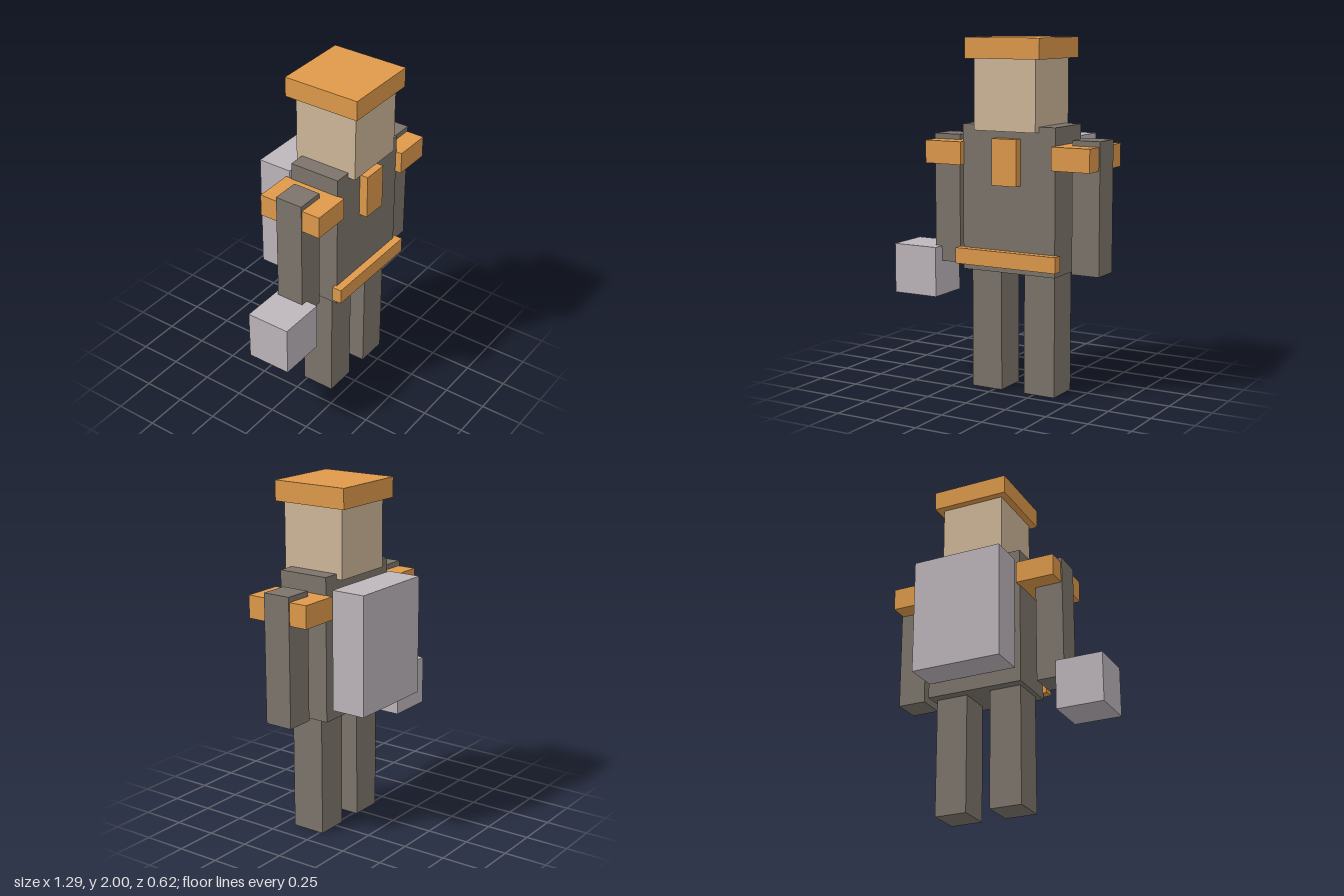
import * as THREE from 'three';

const material = (color) => new THREE.MeshStandardMaterial({ color });

export function createModel() {
  const group = new THREE.Group();
  const cloth = material(0x7d756c);
  const orange = material(0xdf9a4b);
  const skin = material(0xcfb899);
  const metal = material(0xbeb6bc);

  // Box given by its extents along each axis
  function box(name, mat, [x0, x1], [y0, y1], [z0, z1]) {
    const mesh = new THREE.Mesh(new THREE.BoxGeometry(x1 - x0, y1 - y0, z1 - z0), mat);
    mesh.position.set((x0 + x1) / 2, (y0 + y1) / 2, (z0 + z1) / 2);
    mesh.name = name;
    group.add(mesh);
  }

  // The body's middle plane sits off-centre because of the carried block
  const mid = 0.117;
  const centred = (half) => [mid - half, mid + half];

  // Head and body
  box('hat', orange, centred(0.232), [1.885, 2], [-0.155, 0.308]);
  box('head', skin, centred(0.192), [1.49, 1.89], [-0.113, 0.276]);
  box('torso', cloth, centred(0.291), [0.695, 1.52], [-0.077, 0.232]);
  box('backpack', metal, centred(0.27), [0.765, 1.45], [-0.31, -0.105]);
  box('belt', orange, centred(0.317), [0.73, 0.82], [0.22, 0.278]);
  box('chestBadge', orange, centred(0.077), [1.19, 1.45], [0.22, 0.283]);

  // Paired limbs and shoulder pads
  for (const [side, s] of [['left', 1], ['right', -1]]) {
    const span = (a, b) => (s > 0 ? [mid + a, mid + b] : [mid - b, mid - a]);
    box(side + 'Leg', cloth, span(0.073, 0.264), [0, 0.695], [-0.02, 0.18]);
    box(side + 'Arm', cloth, span(0.358, 0.524), [0.71, 1.45], [-0.007, 0.16]);
    box(side + 'ShoulderPad', orange, span(0.286, 0.517), [1.29, 1.42], [-0.117, 0.271]);
  }

  // Block carried beside the right hand
  box('carriedBlock', metal, [-0.645, -0.365], [0.508, 0.798], [-0.03, 0.232]);

  return group;
}
